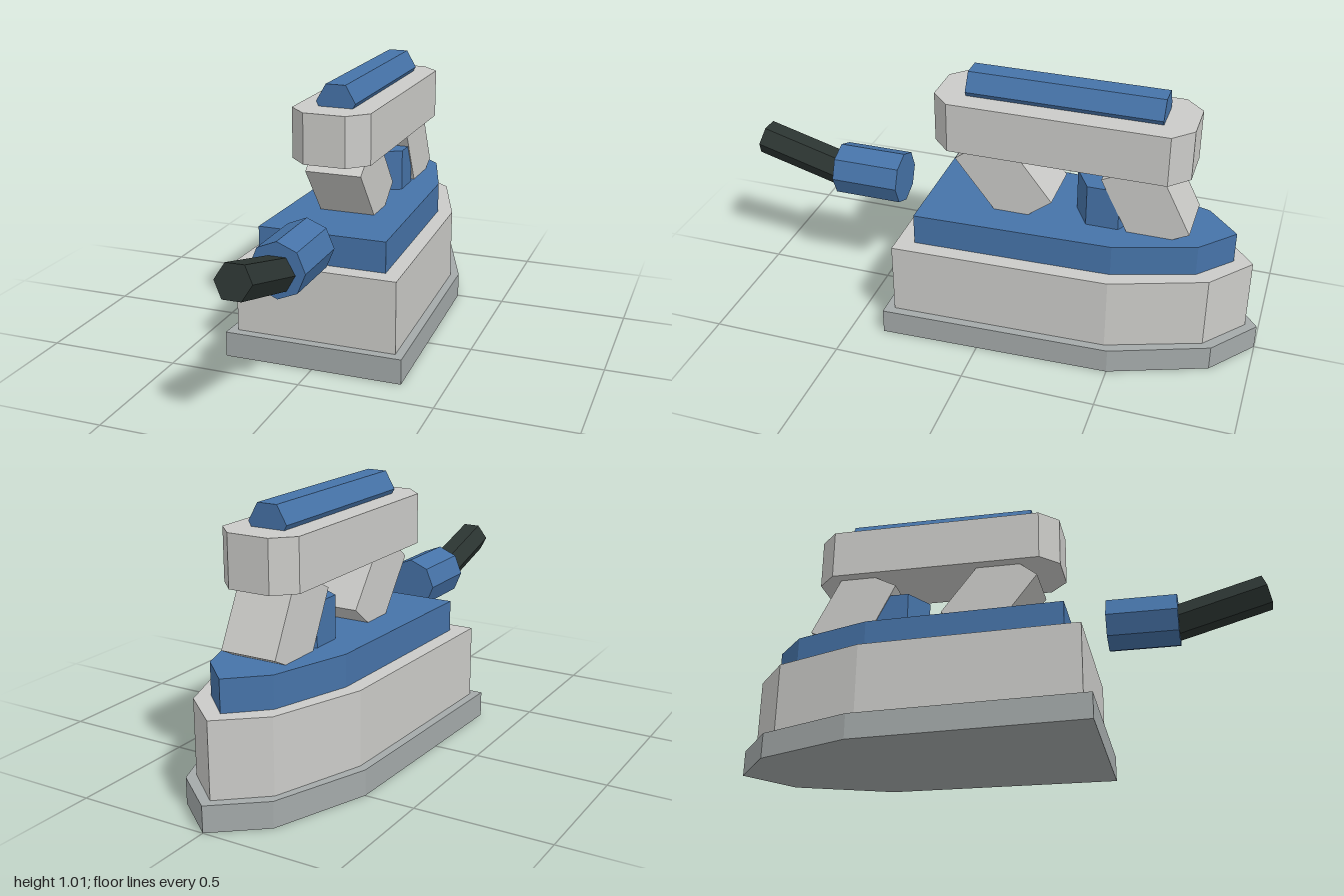
import * as THREE from 'three';

const paint = (name, color) => {
  const m = new THREE.MeshStandardMaterial({ color, flatShading: true });
  m.name = name;
  return m;
};

export function createModel() {
  const group = new THREE.Group();
  const blue = paint('blue', 0x4673a8);
  const shell = paint('light grey', 0xcbcbc8);
  const metal = paint('metal grey', 0xa4aaaa);
  const rubber = paint('black rubber', 0x2b3431);

  const add = (name, geometry, material, x = 0, y = 0, z = 0, tilt = 0) => {
    const mesh = new THREE.Mesh(geometry, material);
    mesh.name = name;
    mesh.position.set(x, y, z);
    mesh.rotation.x = tilt;
    group.add(mesh);
    return mesh;
  };

  // Upright slab from the right half of a plan outline of [x, z] points, mirrored
  const slab = (half, height) => {
    const mirrored = half.filter(([x]) => x > 0).reverse().map(([x, z]) => [-x, z]);
    const outline = [...half, ...mirrored].map(([x, z]) => new THREE.Vector2(x, -z));
    return new THREE.ExtrudeGeometry(new THREE.Shape(outline), { depth: height, bevelEnabled: false })
      .rotateX(-Math.PI / 2);
  };

  // Prism lying along z with corners at +x and -x
  const rod = (radius, length, sides) =>
    new THREE.CylinderGeometry(radius, radius, length, sides)
      .rotateY(Math.PI / 2).rotateX(Math.PI / 2);

  // Pointed, stepped base
  add('soleplate', slab([[0.342, 0.372], [0.312, -0.5], [0.178, -0.857], [0, -1]], 0.096), metal);
  add('body', slab([[0.308, 0.336], [0.281, -0.48], [0.16, -0.822], [0, -0.956]], 0.276), shell, 0, 0.096);
  add('topCover', slab([[0.246, 0.268], [0.222, -0.475], [0.127, -0.768], [0, -0.886]], 0.118), blue, 0, 0.372);

  // Six-sided dial between the posts
  add('dial', new THREE.CylinderGeometry(0.12, 0.12, 0.2, 6), blue, 0, 0.55, -0.41);

  // Tilted handle posts
  add('frontPost', new THREE.BoxGeometry(0.216, 0.324, 0.216), shell, 0, 0.62, -0.035, 0.663);
  add('rearPost', new THREE.BoxGeometry(0.216, 0.3, 0.216), shell, 0, 0.605, -0.565, 0.471);

  // Handle bar with cut corners and a hexagonal grip let into its top
  add('handle', slab([[0.08, 0.235], [0.151, 0.165], [0.151, -0.643], [0.08, -0.714]], 0.19), shell, 0, 0.732);
  add('grip', rod(0.076, 0.72, 6), blue, 0, 0.94, -0.241);

  // Cord socket and the upward-tilted cord
  add('cordSocket', rod(0.102, 0.262, 8), blue, 0, 0.492, 0.53);
  add('cord', rod(0.066, 0.38, 6), rubber, 0, 0.522, 0.803, -0.272);

  return group;
}
